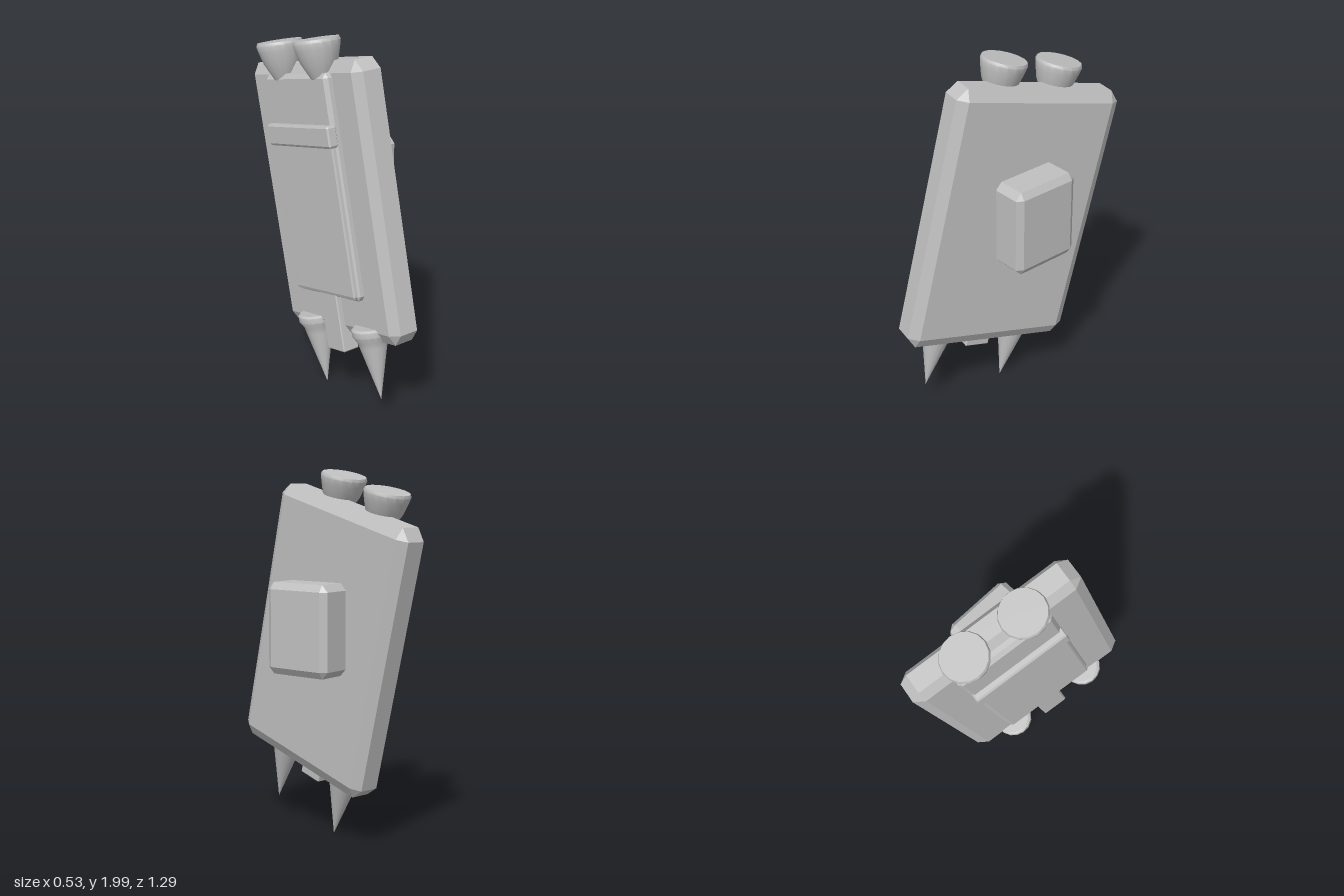
import * as THREE from 'three';
import { ConvexGeometry } from 'three/addons/geometries/ConvexGeometry.js';
import { toCreasedNormals } from 'three/addons/utils/BufferGeometryUtils.js';

const grey = new THREE.MeshStandardMaterial({ color: 0xc0c0c0 });
grey.name = 'plain grey';

function add(parent, name, geometry, x, y, z) {
  const mesh = new THREE.Mesh(geometry, grey);
  mesh.name = name;
  mesh.position.set(x, y, z);
  parent.add(mesh);
  return mesh;
}

// Box with chamfered edges; the chamfer can differ along each axis.
function chamferBox(size, bevel) {
  const points = [];
  for (const sx of [-1, 1]) for (const sy of [-1, 1]) for (const sz of [-1, 1]) {
    const signs = [sx, sy, sz];
    for (let face = 0; face < 3; face++) {
      const c = signs.map((s, i) => s * (size[i] / 2 - (i === face ? 0 : bevel[i])));
      points.push(new THREE.Vector3(...c));
    }
  }
  return new ConvexGeometry(points);
}

// Chamfered box placed by its lower and upper corners.
function block(parent, name, min, max, bevel) {
  const size = max.map((v, i) => v - min[i]);
  const mid = max.map((v, i) => (v + min[i]) / 2);
  return add(parent, name, chamferBox(size, bevel), ...mid);
}

// Round part turned from [radius, height] pairs, bottom to top.
function turned(profile) {
  const points = profile.map(([r, y]) => new THREE.Vector2(r, y));
  return toCreasedNormals(new THREE.LatheGeometry(points, 16), 0.6);
}

export function createModel() {
  const model = new THREE.Group();
  model.name = 'slabOnSpikes';

  // Everything but the side block leans with the slab.
  const tilted = new THREE.Group();
  tilted.name = 'tiltedBody';
  const deg = THREE.MathUtils.degToRad;
  tilted.rotation.set(deg(-14), deg(-10), 0, 'YXZ');
  model.add(tilted);

  // Main slab
  block(tilted, 'slab', [-0.128, 0.333, -0.23], [0.05, 1.805, 0.762], [0.035, 0.06, 0.055]);

  // Raised panel with cross bar and tab
  block(tilted, 'backPanel', [-0.172, 0.56, -0.01], [-0.1, 1.75, 0.545], [0.02, 0.025, 0.02]);
  block(tilted, 'lowerPlate', [-0.184, 0.575, 0.005], [-0.15, 1.4, 0.535], [0.006, 0.015, 0.01]);
  block(tilted, 'crossBar', [-0.207, 1.375, -0.005], [-0.15, 1.49, 0.55], [0.008, 0.012, 0.008]);
  block(tilted, 'bottomTab', [-0.16, 0.245, 0.18], [-0.06, 0.6, 0.33], [0.006, 0.006, 0.006]);

  // Flared knobs on the top edge
  const knob = turned([[0, 1.72], [0.055, 1.72], [0.07, 1.75], [0.1, 1.81],
    [0.117, 1.87], [0.125, 1.905], [0.119, 1.92], [0, 1.92]]);
  for (const z of [0.105, 0.443]) add(tilted, 'knob', knob, -0.119, 0, z);

  // Spikes with a wide collar under the bottom edge
  const spike = turned([[0, 0], [0.074, 0.3], [0.082, 0.335], [0.105, 0.37],
    [0.105, 0.4], [0.092, 0.41], [0, 0.41]]);
  for (const z of [0.022, 0.516]) add(tilted, 'spike', spike, -0.096, 0, z);

  // Upright block on the left face
  add(model, 'sideBlock', chamferBox([0.202, 0.485, 0.394], [0.025, 0.037, 0.035]), 0.164, 1.172, -0.022);

  return model;
}
